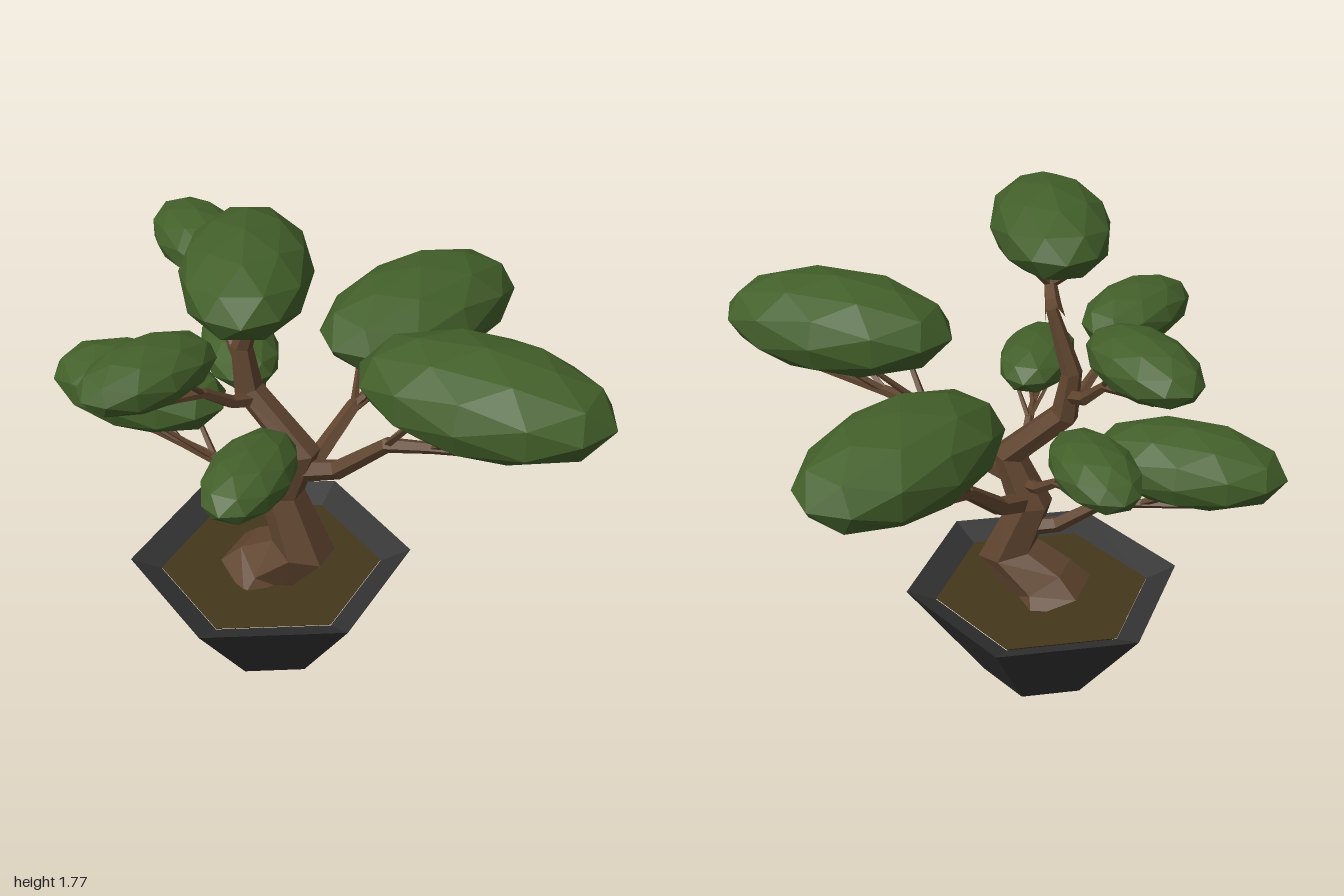
import * as THREE from 'three';

const mat = (color) => new THREE.MeshStandardMaterial({ color, flatShading: true });
const UP = new THREE.Vector3(0, 1, 0);
const CENTRE_X = -0.18, TRUNK_Z = 0.18;

// Tapered faceted limb: one ring per point, closed by a last ring of radius 0
function limbGeometry(points, radii, sides) {
  const n = points.length;
  const ref = points[n - 1].clone().sub(points[0]).cross(UP).normalize();
  const pos = [], index = [];
  for (let i = 0; i <= n; i++) {
    const j = Math.min(i, n - 1);
    const t = new THREE.Vector3();
    if (j > 0) t.add(points[j].clone().sub(points[j - 1]).normalize());
    if (j < n - 1) t.add(points[j + 1].clone().sub(points[j]).normalize());
    t.normalize();
    const u = ref.clone().addScaledVector(t, -ref.dot(t)).normalize();
    const v = t.clone().cross(u);
    const r = i === n ? 0 : radii[j];
    for (let k = 0; k < sides; k++) {
      const angle = (k / sides) * Math.PI * 2;
      const q = points[j].clone()
        .addScaledVector(u, r * Math.cos(angle))
        .addScaledVector(v, r * Math.sin(angle));
      pos.push(q.x, q.y, q.z);
      if (i < n) {
        const a = i * sides + k, b = i * sides + ((k + 1) % sides);
        index.push(a, b, a + sides, b, b + sides, a + sides);
      }
    }
  }
  const g = new THREE.BufferGeometry();
  g.setAttribute('position', new THREE.Float32BufferAttribute(pos, 3));
  g.setIndex(index);
  g.computeVertexNormals();
  return g;
}

export function createModel() {
  const root = new THREE.Group();
  const bark = mat(0x60452f), leaf = mat(0x43602a), clay = mat(0x333333), earth = mat(0x44371c);
  const add = (name, geometry, material, parent = root) => {
    const m = new THREE.Mesh(geometry, material);
    m.name = name;
    parent.add(m);
    return m;
  };

  // Hexagonal pot with an inward sloping rim
  const profile = [[0, 0], [0.21, 0], [0.49, 0.38], [0.385, 0.335]].map((p) => new THREE.Vector2(...p));
  add('pot', new THREE.LatheGeometry(profile, 6), clay).position.set(CENTRE_X, 0, 0.17);
  add('soil', new THREE.CylinderGeometry(0.385, 0.36, 0.02, 6), earth).position.set(CENTRE_X, 0.328, 0.17);

  // Zigzag trunk with flared root: x, y, radius
  const trunk = [
    [-0.19, 0.32, 0.17], [-0.17, 0.375, 0.125], [-0.045, 0.48, 0.11], [-0.125, 0.69, 0.078],
    [-0.045, 0.87, 0.062], [-0.24, 1.06, 0.05], [-0.26, 1.22, 0.036], [-0.185, 1.44, 0.02],
  ];
  const trunkPoints = trunk.map(([x, y]) => new THREE.Vector3(x, y, TRUNK_Z));
  add('trunk', limbGeometry(trunkPoints, trunk.map((p) => p[2]), 6), bark);

  // Point on the trunk axis at a given height
  const onTrunk = (y) => {
    const i = trunkPoints.findIndex((p) => p.y >= y);
    const a = trunkPoints[i - 1], b = trunkPoints[i];
    return a.clone().lerp(b, (y - a.y) / (b.y - a.y));
  };

  // Limb shape shared by all boughs: run, rise and radius from trunk to tip
  const run = [0, 0.22, 0.45, 0.65, 1], rise = [0, 0.2, 0.71, 0.83, 1];
  const taper = [0.042, 0.035, 0.027, 0.02, 0.012];
  // Twigs: limb point they leave, then the forward and sideways reach in the pad
  const twigs = [[2, -0.45, 0.45], [2, -0.4, -0.45], [3, 0.05, 0.3], [3, 0.1, -0.3]];

  // A leaf pad, its limb from the trunk at height startY, and the twigs between
  function addBough(name, startY, x, y, z, size, heading) {
    const bough = new THREE.Group();
    bough.name = name;
    root.add(bough);

    const pad = add('leafPad', new THREE.IcosahedronGeometry(1, 1), leaf, bough);
    pad.scale.set(0.42, 0.169, 0.245).multiplyScalar(size);
    pad.rotation.y = THREE.MathUtils.degToRad(heading);
    pad.position.set(x, y, z);
    pad.updateMatrix();
    const inPad = (...p) => new THREE.Vector3(...p).applyMatrix4(pad.matrix);

    const start = onTrunk(startY), end = inPad(0.24, -1.13, 0);
    const path = run.map((t, i) => {
      const p = start.clone().lerp(end, t);
      p.y = THREE.MathUtils.lerp(start.y, end.y, rise[i]);
      return p;
    });
    add('limb', limbGeometry(path, taper.map((r) => r * size ** 0.8), 5), bark, bough);

    const r = 0.014 * Math.sqrt(size);
    for (const [i, forward, side] of twigs) {
      add('twig', limbGeometry([path[i], inPad(forward, -0.6, side)], [r, r * 0.6], 4), bark, bough);
    }
  }

  addBough('leftBough', 0.78, 0.58, 1.27, 0.175, 1, 0);
  addBough('backBough', 0.69, 0.1, 1.145, -0.415, 0.98, 70);
  addBough('rightBough', 0.57, -0.67, 0.955, 0.185, 0.79, 180);
  addBough('upperBackBough', 1.13, -0.565, 1.425, -0.075, 0.58, 141);
  addBough('lowerBackBough', 0.76, -0.425, 1.025, -0.08, 0.56, 130);
  addBough('topBough', 1.41, -0.105, 1.635, 0.395, 0.82, -63);
  addBough('upperFrontBough', 1.03, -0.37, 1.298, 0.56, 0.59, -110);
  addBough('lowerFrontBough', 0.79, -0.01, 1.045, 0.58, 0.55, -84);
  return root;
}
